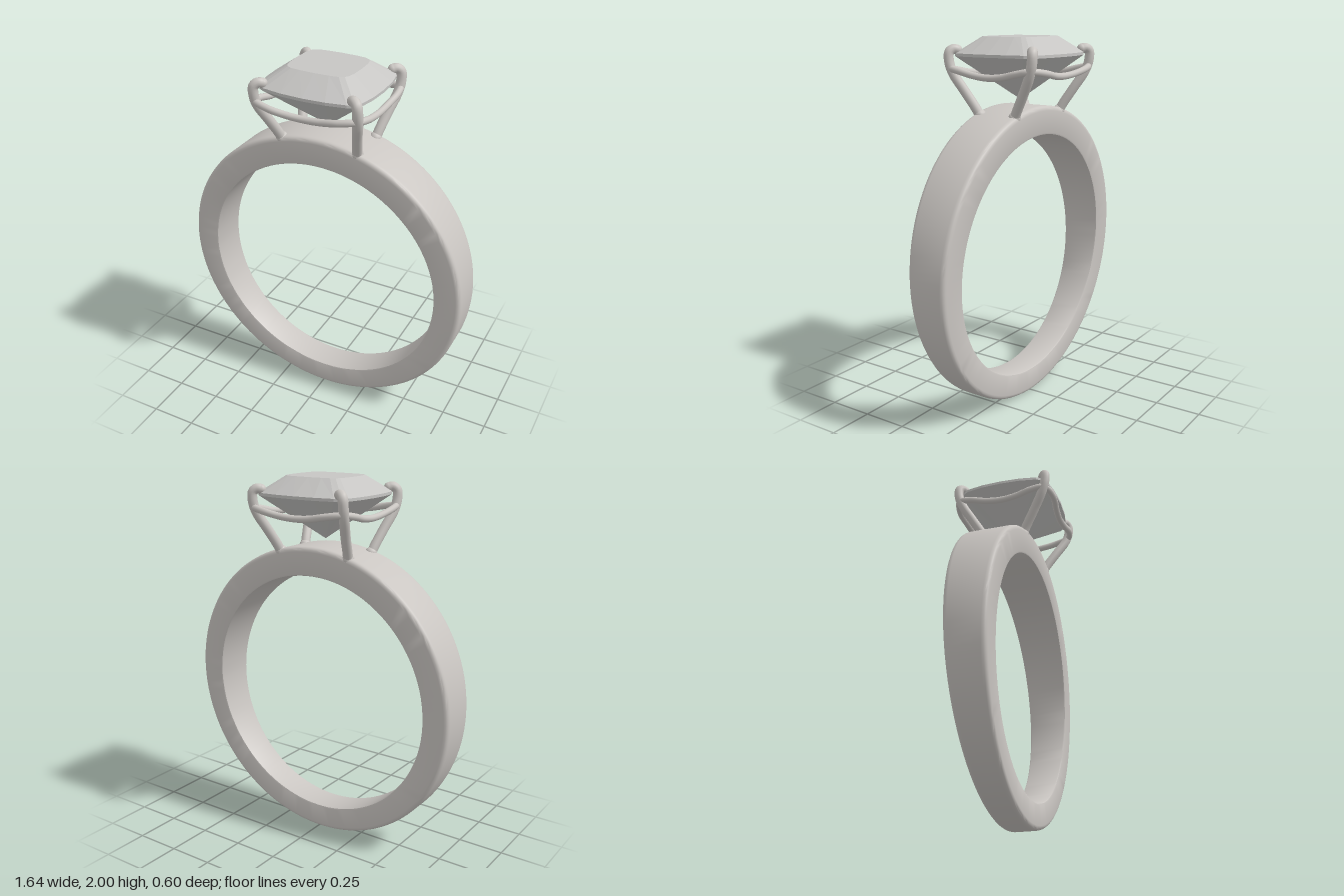
import * as THREE from 'three';
import { toCreasedNormals } from 'three/addons/utils/BufferGeometryUtils.js';

const V = (x, y, z) => new THREE.Vector3(x, y, z);

// Skin a list of closed rings; wrap joins the last ring back to the first.
function loft(rings, wrap) {
  const n = rings[0].length, m = rings.length, index = [];
  for (let i = 0; i < (wrap ? m : m - 1); i++) {
    for (let j = 0; j < n; j++) {
      const i2 = (i + 1) % m, j2 = (j + 1) % n;
      const a = i * n + j, b = i2 * n + j, c = i2 * n + j2, d = i * n + j2;
      index.push(a, b, c, a, c, d);
    }
  }
  const g = new THREE.BufferGeometry().setFromPoints(rings.flat());
  g.setIndex(index);
  return g;
}

// Band: flat-sided hoop that widens from bottom to top, with softened edges.
function bandGeometry() {
  const steps = 128;
  // [position from inner (0) to outer (1) surface, inset from the full half width]
  const half = [[0, 0.01], [0.02, 0.003], [0.07, 0], [0.83, 0], [0.9, 0.002], [0.95, 0.007], [0.985, 0.015], [1, 0.027]];
  const section = [
    ...half.map(([t, inset]) => [t, inset, 1]),
    ...half.slice().reverse().map(([t, inset]) => [t, inset, -1]),
  ];
  const rings = section.map(([t, inset, side]) => {
    const radius = 0.672 + 0.148 * t, centre = 0.8125 + 0.0075 * t;
    return Array.from({ length: steps }, (_, j) => {
      const a = (j / steps) * Math.PI * 2;
      const y = centre + radius * Math.sin(a);
      return V(radius * Math.cos(a), y, side * (0.08 + 0.038 * y - inset));
    });
  });
  return toCreasedNormals(loft(rings, true), 0.7);
}

// Cushion outline: one quarter mirrored into a closed ring.
function cushion(quarter, y) {
  const q = quarter, inner = q.slice(1, -1), back = inner.slice().reverse();
  const end = q[q.length - 1];
  const pts = [
    q[0], ...inner, end,
    ...back.map(([x, z]) => [-x, z]), [-q[0][0], 0],
    ...inner.map(([x, z]) => [-x, -z]), [0, -end[1]],
    ...back.map(([x, z]) => [x, -z]),
  ];
  return pts.map(([x, z]) => V(x, y, z));
}

function gemGeometry() {
  const girdle = [[0.3, 0], [0.295, 0.11], [0.278, 0.205], [0.258, 0.236], [0.225, 0.254], [0.12, 0.273], [0, 0.279]];
  const table = [[0.18, 0], [0.176, 0.08], [0.168, 0.115], [0.155, 0.135], [0.13, 0.148], [0.08, 0.154], [0, 0.157]];
  const point = [[0, 0], [0, 0], [0, 0], [0, 0], [0, 0], [0, 0], [0, 0]];
  const g = loft([
    cushion(point, 1.67),
    cushion(girdle, 1.9),
    cushion(girdle, 1.915),
    cushion(table, 2),
    cushion(point, 2),
  ], false).toNonIndexed();
  g.computeVertexNormals();
  return g;
}

export function createModel() {
  const metal = new THREE.MeshStandardMaterial({ color: 0xcac6c2 });
  metal.name = 'ring metal';
  const stone = new THREE.MeshStandardMaterial({ color: 0xc6c5c3 });
  stone.name = 'gem stone';

  const model = new THREE.Group();
  model.name = 'ring';
  const add = (parent, geometry, material, name) => {
    const mesh = new THREE.Mesh(geometry, material);
    mesh.name = name;
    parent.add(mesh);
    return mesh;
  };

  add(model, bandGeometry(), metal, 'band');
  add(model, gemGeometry(), stone, 'gem');

  // Four claws rising from the band and hooking over the gem corners
  const setting = new THREE.Group();
  setting.name = 'setting';
  model.add(setting);
  for (const sx of [1, -1]) {
    for (const sz of [1, -1]) {
      const path = [
        [0.213, 1.57, 0.1], [0.222, 1.62, 0.122], [0.248, 1.72, 0.182], [0.275, 1.81, 0.235],
        [0.283, 1.87, 0.255], [0.279, 1.92, 0.257], [0.26, 1.936, 0.245], [0.243, 1.932, 0.232],
      ].map(([x, y, z]) => V(sx * x, y, sz * z));
      const claw = new THREE.Group();
      claw.name = 'claw';
      setting.add(claw);
      const curve = new THREE.CatmullRomCurve3(path);
      add(claw, new THREE.TubeGeometry(curve, 40, 0.026, 14), metal, 'clawStem');
      add(claw, new THREE.SphereGeometry(0.026, 14, 10), metal, 'clawTip').position.copy(path[path.length - 1]);
      // Small soft swelling where the claw meets the band
      const foot = add(claw, new THREE.SphereGeometry(0.033, 14, 10), metal, 'clawFoot');
      foot.position.set(sx * 0.216, 1.597, sz * 0.109);
    }
  }

  // Wire rail linking the claws, sagging between them
  const rail = [
    ...cushion([[0.286, 0], [0.289, 0.09], [0.296, 0.18], [0.28, 0.25], [0.19, 0.28], [0.09, 0.272], [0, 0.267]], 0),
  ];
  const heights = [1.798, 1.806, 1.826, 1.838, 1.826, 1.808, 1.802];
  rail.forEach((p, j) => {
    const k = j % 12;
    p.y = heights[k <= 6 ? k : 12 - k];
  });
  const railCurve = new THREE.CatmullRomCurve3(rail, true);
  add(setting, new THREE.TubeGeometry(railCurve, 144, 0.018, 12, true), metal, 'wireRail');

  return model;
}
